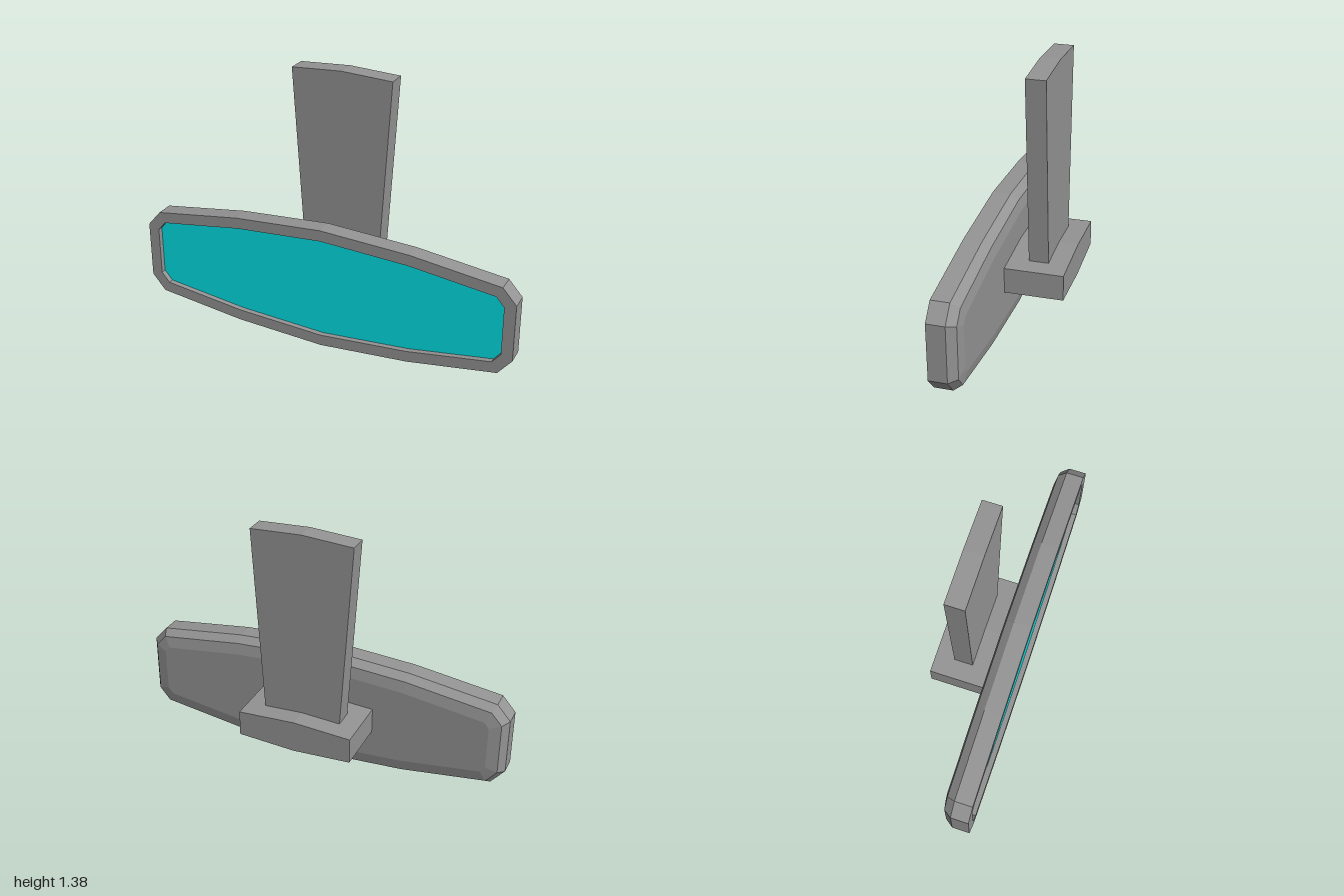
import * as THREE from 'three';

const grey = new THREE.MeshStandardMaterial({ color: 0x949494, flatShading: true });
const glassMaterial = new THREE.MeshStandardMaterial({ color: 0x00e2e8 });

// Housing outline, right half from bottom to top, mirrored into a full counter-clockwise loop
const half = [[0, 0], [0.47, 0.031], [0.93, 0.096], [1, 0.18], [1, 0.478], [0.93, 0.558], [0.47, 0.621], [0, 0.65]];
const outline = [...half, ...half.slice(1, -1).reverse().map(([x, y]) => [-x, y])]
  .map(([x, y]) => new THREE.Vector2(x, y));

// Move every edge of the outline inward by d, with mitred corners
function inset(d) {
  const n = outline.length;
  return outline.map((p, i) => {
    const normal = (a, b) => new THREE.Vector2(a.y - b.y, b.x - a.x).normalize();
    const n1 = normal(outline[(i + n - 1) % n], p);
    const n2 = normal(p, outline[(i + 1) % n]);
    return n1.clone().add(n2).multiplyScalar(d / (1 + n1.dot(n2))).add(p);
  });
}

// Join rings of [inset, z] from front to back and close the last one
function housingGeometry(sections) {
  const rings = sections.map(([d, z]) => inset(d).map(p => [p.x, p.y, z]));
  const pos = [];
  const n = outline.length;
  for (let r = 0; r < rings.length - 1; r++) {
    const a = rings[r], b = rings[r + 1];
    for (let i = 0; i < n; i++) {
      const j = (i + 1) % n;
      pos.push(...a[i], ...b[i], ...b[j], ...a[i], ...b[j], ...a[j]);
    }
  }
  const last = rings[rings.length - 1];
  for (let i = 1; i < n - 1; i++) pos.push(...last[0], ...last[i + 1], ...last[i]);
  const geometry = new THREE.BufferGeometry();
  geometry.setAttribute('position', new THREE.Float32BufferAttribute(pos, 3));
  geometry.computeVertexNormals();
  return geometry;
}

// Extrude a polygon from z0 to z1
function slab(points, z0, z1) {
  const shape = new THREE.Shape(points.map(([x, y]) => new THREE.Vector2(x, y)));
  return new THREE.ExtrudeGeometry(shape, { depth: z1 - z0, bevelEnabled: false }).translate(0, 0, z0);
}

export function createModel() {
  const model = new THREE.Group();
  model.name = 'rearViewMirror';
  const add = (name, geometry, material = grey) => {
    const mesh = new THREE.Mesh(geometry, material);
    mesh.name = name;
    model.add(mesh);
  };

  // Housing: recess wall, front rim, side wall, bevels and flat back
  add('housing', housingGeometry([
    [0.058, 0.195], [0.058, 0.223], [0, 0.223], [0, 0.13], [0.03, 0.088], [0.09, 0.076],
  ]));

  // Recessed mirror glass
  add('mirrorGlass', new THREE.ShapeGeometry(new THREE.Shape(inset(0.058))).translate(0, 0, 0.195), glassMaterial);

  // Mounting block behind the housing, slightly peaked above and below
  add('mountingBlock', slab([
    [0, 0.241], [0.303, 0.258], [0.303, 0.393], [0, 0.41], [-0.303, 0.393], [-0.303, 0.258],
  ], -0.223, 0.08));

  // Stem widening upward to a peaked top
  add('stem', slab([
    [-0.205, 0.39], [0.205, 0.39], [0.265, 1.37], [0, 1.385], [-0.265, 1.37],
  ], -0.123, -0.023));

  return model;
}
